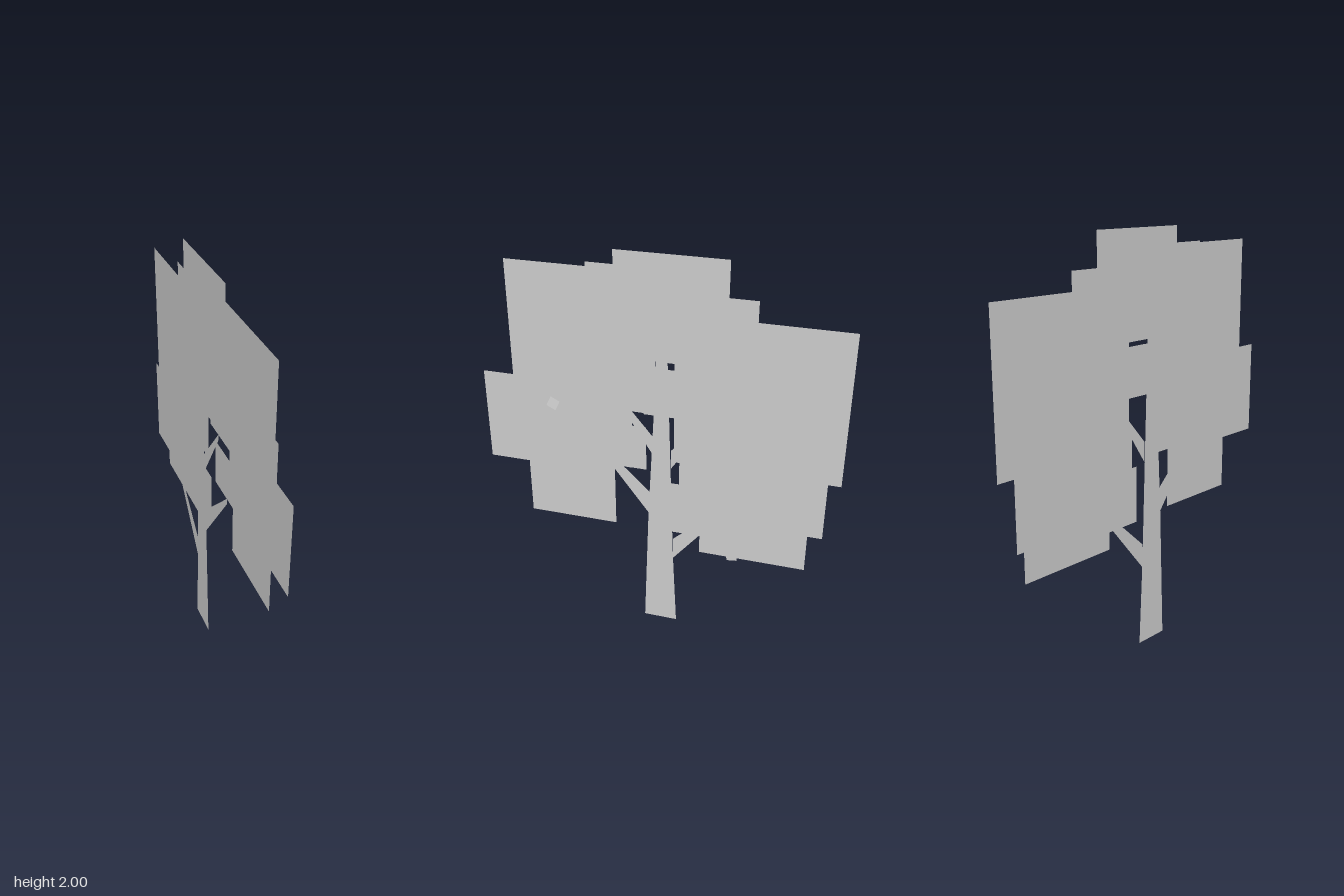
import * as THREE from 'three';

export function createModel() {
  const grey = new THREE.MeshStandardMaterial({ color: 0xcccccc, side: THREE.DoubleSide });
  grey.name = 'pale grey';

  const model = new THREE.Group();
  model.name = 'flatTree';

  // All cards stand parallel in one upright plane, turned 60 degrees
  const tree = new THREE.Group();
  tree.name = 'tree';
  tree.rotation.y = -Math.PI / 3;
  model.add(tree);

  function add(name, geometry, x, y, z) {
    const mesh = new THREE.Mesh(geometry, grey);
    mesh.name = name;
    mesh.position.set(x, y, z);
    tree.add(mesh);
    return mesh;
  }

  function outline(name, points, z) {
    const shape = new THREE.Shape(points.map(([x, y]) => new THREE.Vector2(x, y)));
    return add(name, new THREE.ShapeGeometry(shape), 0, 0, z);
  }

  // Tapering trunk
  const WOOD = 0.067;
  outline('trunk', [
    [-0.085, 0], [0.087, 0], [0.065, 0.65], [0.037, 1.2],
    [0.016, 1.68], [-0.024, 1.68], [-0.039, 1.2], [-0.064, 0.42],
  ], WOOD);

  // Branches: root x, root low y, root high y, tip x, tip low y, tip high y
  [
    [-0.064, 0.4, 0.52, -0.364, 0.77, 0.8],
    [0.06, 0.65, 0.78, 0.336, 1.01, 1.04],
    [-0.05, 0.93, 1.03, -0.234, 1.21, 1.24],
    [0.04, 0.99, 1.09, 0.226, 1.28, 1.31],
  ].forEach(([rx, r0, r1, tx, t0, t1]) =>
    outline('branch', [[rx, r0], [tx, t0], [tx, t1], [rx, r1]], WOOD));

  // Leaf cards: centre x, width, bottom y, top y, depth
  [
    [-0.474, 0.785, 1.01, 1.75, 0],
    [-0.05, 0.52, 1.5, 2.0, 0.032],
    [0.369, 0.71, 1.235, 1.915, 0.026],
    [0.223, 0.25, 1.685, 1.925, 0.057],
    [-0.318, 0.25, 1.59, 1.84, 0.016],
    [0.63, 0.47, 0.895, 1.36, 0.003],
    [0.371, 0.52, 0.965, 1.49, -0.032],
    [0.432, 0.447, 0.62, 1.07, -0.013],
    [0.204, 0.29, 0.935, 1.165, 0.017],
    [-0.072, 0.284, 1.235, 1.475, 0.015],
    [-0.589, 0.43, 0.69, 1.135, 0.032],
    [-0.477, 0.52, 0.52, 1.045, -0.004],
    [-0.161, 0.25, 0.61, 0.89, 0.002],
    [-0.235, 0.27, 0.8, 1.095, 0.034],
  ].forEach(([x, w, y0, y1, z]) =>
    add('leafCard', new THREE.PlaneGeometry(w, y1 - y0), x, (y0 + y1) / 2, z));

  // Small square fruit cards on the back: x, y, depth, turn, tilt
  [
    [0.5, 1.255, -0.037, 0.42, 0.15],
    [-0.482, 1.35, -0.055, -0.27, 0],
    [-0.23, 0.93, -0.035, -0.25, 0],
    [0.28, 0.81, -0.045, 0.2, 0],
    [-0.388, 0.56, -0.048, -0.12, 0],
  ].forEach(([x, y, z, turn, tilt]) => {
    const fruit = add('fruitCard', new THREE.PlaneGeometry(0.05, 0.05), x, y, z);
    fruit.rotation.set(tilt, 0, turn);
  });

  return model;
}
